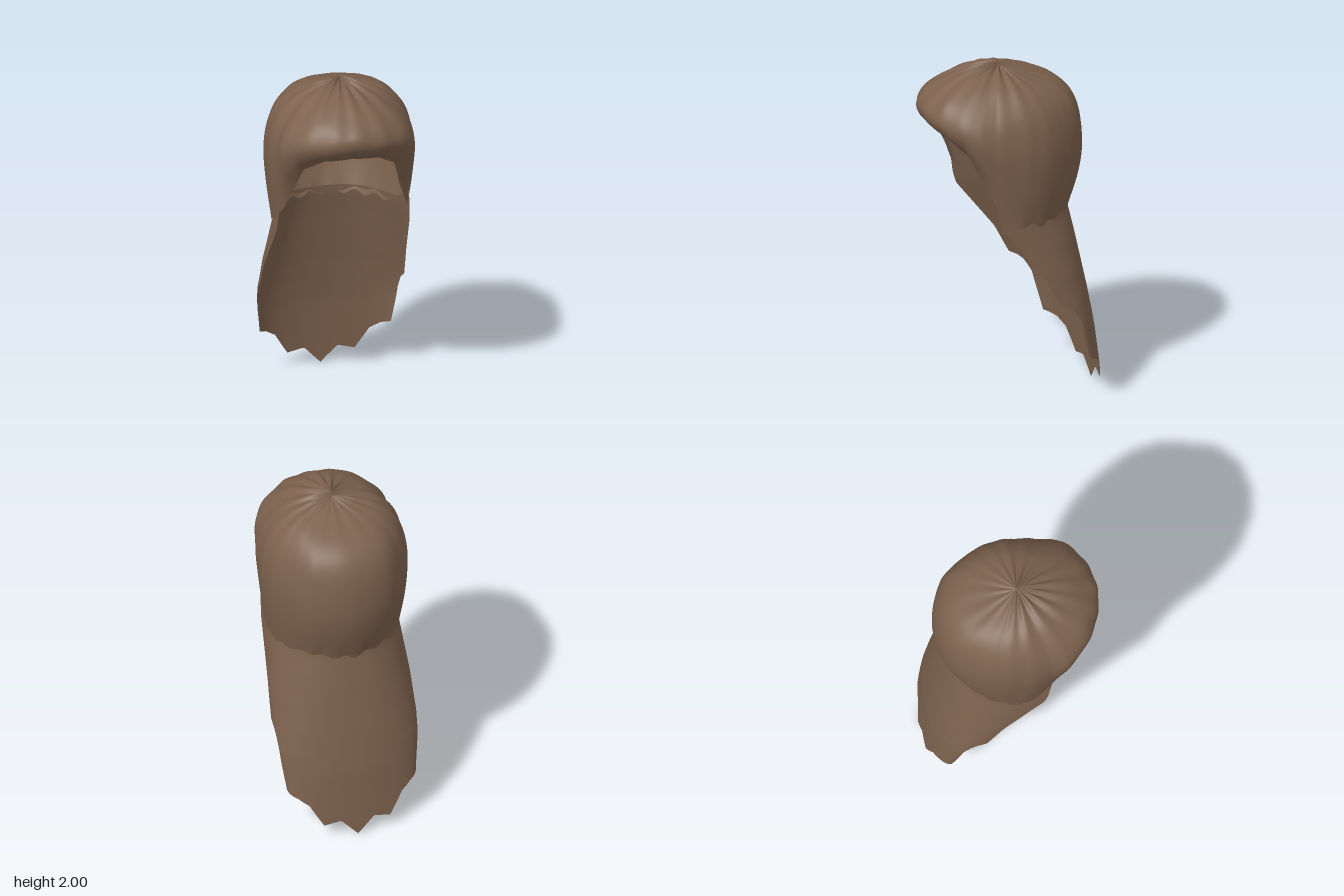
import * as THREE from 'three';

const hair = new THREE.MeshStandardMaterial({ color: 0x7c614d, side: THREE.DoubleSide });
hair.name = 'brown hair';

// Linear lookup in a list of [key, value] pairs with rising keys
function lookup(pairs, k) {
  if (k <= pairs[0][0]) return pairs[0][1];
  for (let i = 1; i < pairs.length; i++) {
    const [k0, v0] = pairs[i - 1], [k1, v1] = pairs[i];
    if (k <= k1) return v0 + (v1 - v0) * (k - k0) / (k1 - k0);
  }
  return pairs[pairs.length - 1][1];
}

// Smooth indexed surface from a grid of points; wrap joins the last column to the first
function gridSurface(rows, cols, wrap, point) {
  const pos = [], index = [];
  for (let r = 0; r <= rows; r++)
    for (let c = 0; c < cols; c++) pos.push(...point(r / rows, c / (wrap ? cols : cols - 1)));
  for (let r = 0; r < rows; r++)
    for (let c = 0; c < (wrap ? cols : cols - 1); c++) {
      const n = (c + 1) % cols;
      const a = r * cols + c, b = r * cols + n, d = a + cols, e = b + cols;
      index.push(a, d, b, b, d, e);
    }
  const g = new THREE.BufferGeometry();
  g.setAttribute('position', new THREE.Float32BufferAttribute(pos, 3));
  g.setIndex(index);
  g.computeVertexNormals();
  return g;
}

// Cap profiles [radius, height] from crown to rim, keyed by degrees from the front
const curve = pts => new THREE.SplineCurve(pts.map(p => new THREE.Vector2(...p)));
const profiles = [
  [0, curve([[0, 2], [0.14, 1.975], [0.28, 1.93], [0.4, 1.85], [0.455, 1.79], [0.445, 1.72], [0.37, 1.65]])],
  [24, curve([[0, 2], [0.14, 1.97], [0.28, 1.92], [0.4, 1.85], [0.455, 1.76], [0.44, 1.69], [0.38, 1.635]])],
  [43, curve([[0, 2], [0.14, 1.965], [0.28, 1.91], [0.4, 1.82], [0.455, 1.73], [0.435, 1.64], [0.375, 1.565]])],
  [57, curve([[0, 2], [0.14, 1.96], [0.27, 1.905], [0.39, 1.8], [0.45, 1.68], [0.43, 1.54], [0.36, 1.4]])],
  [68, curve([[0, 2], [0.13, 1.96], [0.26, 1.9], [0.375, 1.775], [0.422, 1.63], [0.41, 1.45], [0.375, 1.27]])],
  [90, curve([[0, 1.98], [0.13, 1.955], [0.27, 1.895], [0.375, 1.77], [0.415, 1.58], [0.405, 1.35], [0.38, 1.14]])],
  [130, curve([[0, 1.975], [0.15, 1.94], [0.3, 1.88], [0.395, 1.76], [0.438, 1.57], [0.425, 1.35], [0.378, 1.12]])],
  [150, curve([[0, 1.97], [0.16, 1.93], [0.34, 1.86], [0.435, 1.74], [0.468, 1.53], [0.448, 1.34], [0.382, 1.12]])],
  [180, curve([[0, 1.97], [0.16, 1.925], [0.35, 1.855], [0.445, 1.73], [0.475, 1.52], [0.455, 1.34], [0.385, 1.12]])],
];

// [radius, height] of the cap at v (0 crown, 1 rim) in the direction deg from the front
function capProfile(v, deg) {
  let i = 1;
  while (i < profiles.length - 1 && deg > profiles[i][0]) i++;
  const [k0, c0] = profiles[i - 1], [k1, c1] = profiles[i];
  return c0.getPoint(v).lerp(c1.getPoint(v), (deg - k0) / (k1 - k0));
}

// Cap with pleats gathered at the crown, strongest towards the front, and a rippled neck edge
function capPoint(v, u) {
  const angle = u * Math.PI * 2, deg = 360 * Math.min(u, 1 - u);
  const p = capProfile(v, deg);
  const strength = lookup([[80, 1], [125, 0.2]], deg);
  const wave = strength * Math.sin(angle * 17 + 1.2 * Math.sin(angle * 3));
  const r = p.x * (1 + 0.01 * wave * Math.sin(Math.PI * Math.min(1, v * 1.15)));
  const crown = Math.max(0, 1 - v / 0.45) * Math.min(1, v * 12);
  const ripple = deg > 80 ? 0.015 * Math.sin(angle * 19) * Math.max(0, v - 0.9) * 10 : 0;
  return [r * Math.sin(angle), p.y + 0.012 * wave * crown + ripple, 0.05 + r * Math.cos(angle)];
}

// Long back sheet: half width, back line and front edge line by height
const halfWidth = [[0, 0.35], [0.28, 0.373], [0.45, 0.395], [0.65, 0.411], [0.8, 0.405], [1, 0.388], [1.15, 0.376], [1.45, 0.362]];
const backLine = [[0, -0.505], [0.1, -0.497], [0.4, -0.472], [0.65, -0.43], [0.95, -0.37], [1.12, -0.333], [1.2, -0.325]];
const frontLine = [[0, -0.44], [0.28, -0.36], [0.52, -0.27], [0.82, -0.08], [1.13, 0.16], [1.2, 0.18], [1.45, 0.215]];
// Ragged offset of the front edges, by height
const edgeJag = [[0.28, 0], [0.52, -0.03], [0.61, -0.03], [0.65, 0.02], [0.82, 0]];
// Cross-section exponent by height: rounder at the bottom, squarer at the neck
const squareness = [[0.4, 1], [1, 0.82]];
// Jagged lower edge by distance from the middle
const hem = [[0, 0], [0.17, 0.1], [0.36, 0.08], [0.52, 0.21], [0.68, 0.25], [1, 0.28]];

function sheetPoint(v, u) {
  const s = u * 2 - 1, a = Math.abs(s);
  // The side locks climb inside the cap beside the face opening
  const top = 1.16 + 0.28 * a ** 8;
  const y = top + (lookup(hem, a) - top) * v;
  const e = lookup(squareness, y), phi = a * Math.PI / 2;
  const zf = lookup(frontLine, y), zb = lookup(backLine, y);
  const x = -Math.sign(s) * lookup(halfWidth, y) * Math.sin(phi) ** e;
  const z = zf - (zf - zb) * Math.max(0, Math.cos(phi)) ** e + lookup(edgeJag, y) * a ** 8;
  return [x, y, z];
}

export function createModel() {
  const group = new THREE.Group();
  group.name = 'longHair';
  const add = (name, geometry) => {
    const mesh = new THREE.Mesh(geometry, hair);
    mesh.name = name;
    group.add(mesh);
  };
  add('hairCap', gridSurface(36, 180, true, capPoint));
  add('backHair', gridSurface(44, 101, false, sheetPoint));
  return group;
}
